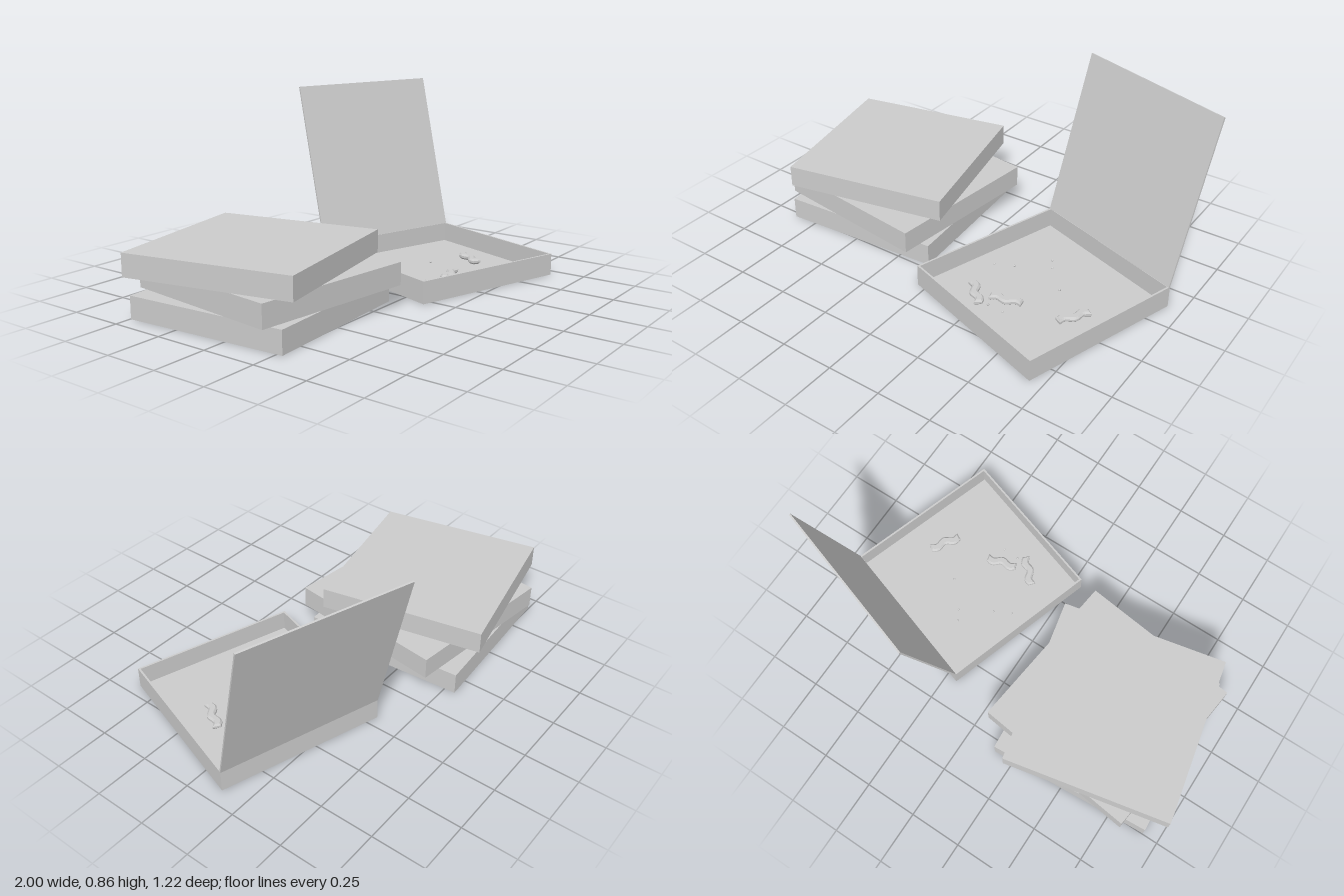
import * as THREE from 'three';

const SIDE = 0.775, HEIGHT = 0.102, WALL = 0.009;

export function createModel() {
  const model = new THREE.Group();
  const card = new THREE.MeshStandardMaterial({ color: 0xcccccc });
  card.name = 'pale grey card';

  const add = (parent, name, geometry, x, y, z) => {
    const mesh = new THREE.Mesh(geometry, card);
    mesh.name = name;
    mesh.position.set(x, y, z);
    parent.add(mesh);
    return mesh;
  };

  // Stack of three closed boxes: x, z, turn
  const stack = new THREE.Group();
  stack.name = 'closedBoxStack';
  model.add(stack);
  [[-0.51, -0.137, 0.071], [-0.485, -0.115, -0.123], [-0.54, -0.15, 0.207]].forEach(([x, z, turn], i) => {
    const box = add(stack, 'closedBox' + (i + 1), new THREE.BoxGeometry(SIDE, HEIGHT, SIDE),
      x, HEIGHT * (i + 0.5) + i * 0.001, z);
    box.rotation.y = turn;
  });

  // Open box: floor, four thin walls and a raised lid
  const open = new THREE.Group();
  open.name = 'openBox';
  open.position.set(0.443, 0, 0.118);
  open.rotation.y = -0.315;
  model.add(open);
  add(open, 'floor', new THREE.BoxGeometry(SIDE, WALL, SIDE), 0, WALL / 2, 0);
  const edge = (SIDE - WALL) / 2, wallHeight = HEIGHT - WALL, wallY = WALL + wallHeight / 2;
  for (const s of [-1, 1]) {
    add(open, s < 0 ? 'backWall' : 'frontWall',
      new THREE.BoxGeometry(SIDE, wallHeight, WALL), 0, wallY, s * edge);
    add(open, s < 0 ? 'rightWall' : 'leftWall',
      new THREE.BoxGeometry(WALL, wallHeight, SIDE - 2 * WALL), s * edge, wallY, 0);
  }
  const lidGeometry = new THREE.BoxGeometry(SIDE, 0.782, 0.008);
  lidGeometry.translate(0, 0.391, 0.004);
  const lid = add(open, 'lid', lidGeometry, 0, HEIGHT - 0.002, -SIDE / 2);
  lid.rotation.x = -0.272;

  // Left-over crusts: wavy strips with sloping sides
  const crustGeometry = (length) => {
    const upper = [], lower = [], steps = 14;
    for (let i = 0; i <= steps; i++) {
      const t = i / steps;
      const y = 0.009 * Math.sin(t * Math.PI * 3);
      const x = (t - 0.5) * (length - 0.016);
      upper.push(new THREE.Vector2(x, y + 0.011));
      lower.unshift(new THREE.Vector2(x, y - 0.011));
    }
    const geometry = new THREE.ExtrudeGeometry(new THREE.Shape([...lower, ...upper]), {
      depth: 0.01, bevelEnabled: true, bevelSegments: 1, bevelSize: 0.008, bevelThickness: 0.008,
    });
    geometry.rotateX(-Math.PI / 2);
    return geometry;
  };
  [[0.215, 0.29, 0.15, -0.8], [0.35, 0.255, 0.15, 0.25], [0.648, 0.188, 0.155, 1.0]].forEach(([x, z, length, turn], i) => {
    const crust = add(model, 'crust' + (i + 1), crustGeometry(length), x, WALL + 0.008, z);
    crust.rotation.y = turn;
  });

  // Crumbs scattered on the floor
  const crumb = new THREE.IcosahedronGeometry(0.006, 0);
  [[0.16, 0.06], [0.24, 0.02], [0.36, -0.115], [0.39, -0.065], [0.5, 0.055], [0.38, 0.325], [0.3, 0.32]].forEach(([x, z], i) => {
    add(model, 'crumb' + (i + 1), crumb, x, WALL + 0.004, z);
  });

  return model;
}
